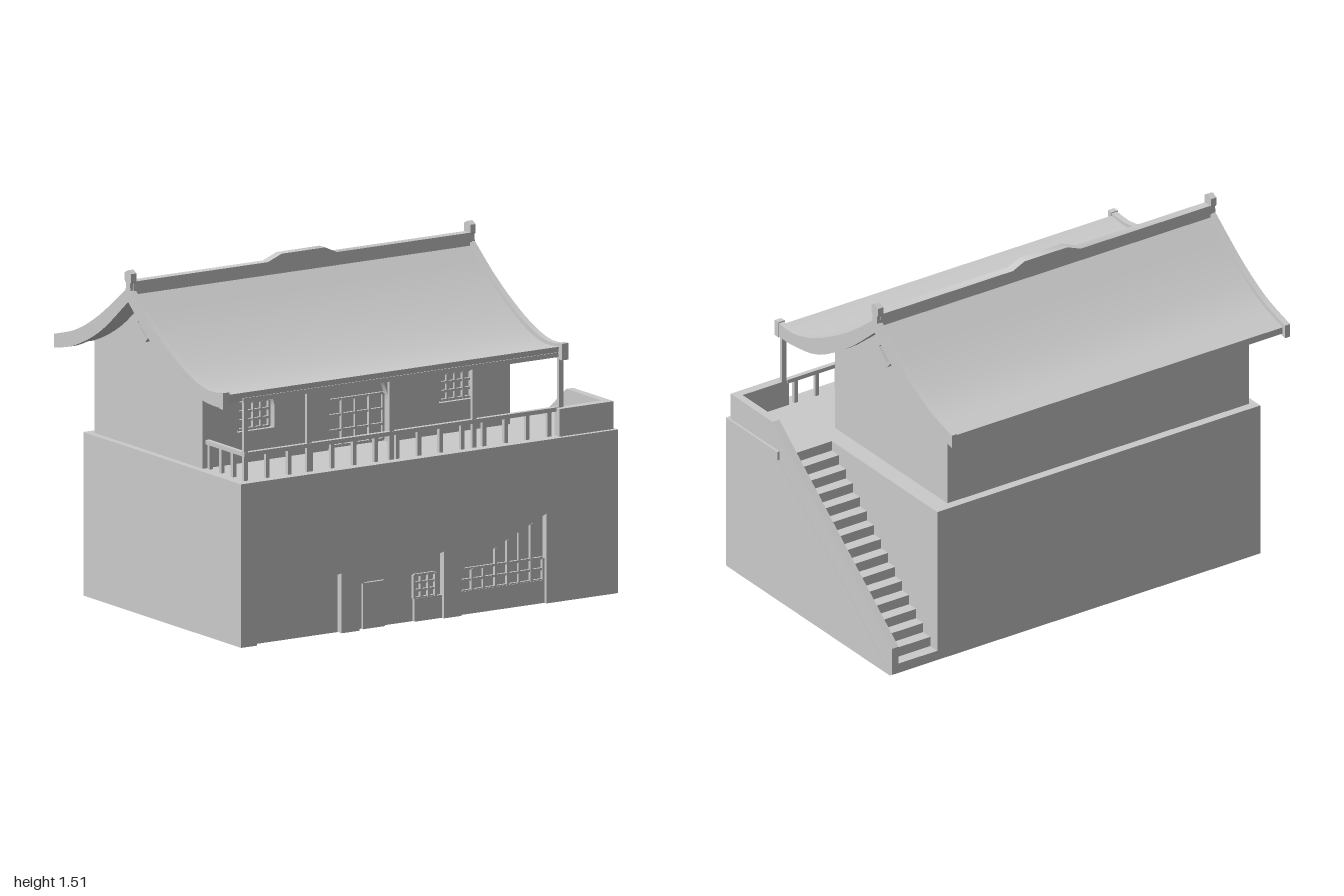
import * as THREE from 'three';
import { toCreasedNormals } from 'three/addons/utils/BufferGeometryUtils.js';

const material = new THREE.MeshStandardMaterial({ color: 0xcccccc });
const toShape = (pts) => new THREE.Shape(pts.map(([a, b]) => new THREE.Vector2(a, b)));

export function createModel() {
  const model = new THREE.Group();

  const add = (name, geometry, parent = model) => {
    const mesh = new THREE.Mesh(geometry, material);
    mesh.name = name;
    parent.add(mesh);
    return mesh;
  };
  const group = (name) => {
    const g = new THREE.Group();
    g.name = name;
    model.add(g);
    return g;
  };
  // Box given by its limits on each axis
  const box = (name, x0, x1, y0, y1, z0, z1, parent) => {
    const g = new THREE.BoxGeometry(x1 - x0, y1 - y0, z1 - z0);
    g.translate((x0 + x1) / 2, (y0 + y1) / 2, (z0 + z1) / 2);
    return add(name, g, parent);
  };
  // Front-facing outline (x, y) extruded from z0 to z1
  const slabZ = (name, shape, z0, z1, parent) => {
    const g = new THREE.ExtrudeGeometry(shape, { depth: z1 - z0, bevelEnabled: false, curveSegments: 12 });
    g.translate(0, 0, z0);
    return add(name, toCreasedNormals(g, 0.5), parent);
  };
  // Side outline (z, y) extruded from x0 to x1
  const slabX = (name, shape, x0, x1, parent) => {
    const g = new THREE.ExtrudeGeometry(shape, { depth: x1 - x0, bevelEnabled: false });
    g.rotateY(-Math.PI / 2);
    g.translate(x1, 0, 0);
    return add(name, toCreasedNormals(g, 0.5), parent);
  };
  // Grid of thin bars filling a rectangle
  const lattice = (name, x0, x1, y0, y1, z, cols, rows) => {
    const g = group(name);
    const t = 0.005;
    for (let i = 0; i <= cols; i++) {
      const x = x0 + ((x1 - x0) * i) / cols;
      box('verticalBar', x - t, x + t, y0, y1, z, z + 0.014, g);
    }
    for (let j = 0; j <= rows; j++) {
      const y = y0 + ((y1 - y0) * j) / rows;
      box('crossBar', x0, x1, y - t, y + t, z, z + 0.012, g);
    }
  };

  // Stone base: core, and a front wall with three slanted recesses
  box('baseCore', -0.92, 0.75, 0, 0.71, -0.55, 0.63);
  box('landing', 0.75, 0.995, 0, 0.71, 0.28, 0.63);
  const frontOutline = [[-0.92, 0.71], [-0.92, 0]];
  const recesses = [[-0.84, -0.41, 0.2, 0.26], [-0.32, 0.11, 0.2, 0.29], [0.2, 0.63, 0.2, 0.39]];
  for (const [x0, x1, y0, y1] of recesses) frontOutline.push([x0, 0], [x0, y0], [x1, y1], [x1, 0]);
  frontOutline.push([0.995, 0], [0.995, 0.71]);
  slabZ('baseFrontWall', toShape(frontOutline), 0.63, 0.66);

  // Fittings inside the recesses
  box('shutterPanel', -0.29, -0.18, 0, 0.2, 0.63, 0.645);
  box('windowSill', -0.03, 0.11, 0, 0.1, 0.63, 0.645);
  lattice('lowerWindowLattice', -0.03, 0.08, 0.1, 0.2, 0.63, 3, 3);
  box('lowWall', 0.2, 0.63, 0, 0.1, 0.63, 0.645);
  lattice('shopLattice', 0.205, 0.625, 0.1, 0.195, 0.63, 7, 2);
  for (let i = 3; i < 7; i++) {
    const x = 0.205 + i * 0.06;
    box('shopUpperBar', x - 0.005, x + 0.005, 0.195, 0.19 + (x - 0.2) * 0.44, 0.63, 0.644);
  }

  // Staircase climbing from the back to the front landing
  const steps = 16;
  const stairOutline = [[0.28, 0], [-0.55, 0]];
  for (let i = 0; i < steps; i++) {
    const y = (0.71 * (i + 1)) / steps;
    stairOutline.push([-0.55 + (0.83 * i) / steps, y], [-0.55 + (0.83 * (i + 1)) / steps, y]);
  }
  slabX('stairs', toShape(stairOutline), 0.75, 0.95);
  slabX('stairSideWall', toShape([[-0.55, 0], [0.33, 0], [0.33, 0.71]]), 0.95, 0.995);
  slabX('stairParapet', toShape([
    [0.64, 0.7], [0.64, 0.83], [0.33, 0.83], [-0.55, 0.125], [-0.55, 0], [0.33, 0.7],
  ]), 0.95, 0.985);
  box('landingParapet', 0.71, 0.95, 0.71, 0.83, 0.6, 0.64);

  // House: gabled body with an arched front wall
  slabX('houseBody', toShape([
    [0.29, 0.71], [0.29, 1.12], [0.1, 1.245], [-0.09, 1.395], [-0.3, 1.23], [-0.51, 1.13], [-0.51, 0.71],
  ]), -0.89, 0.67);
  const wall = toShape([[-0.89, 0.71], [-0.25, 0.71], [-0.25, 0.89]]);
  wall.absarc(-0.1, 0.89, 0.15, Math.PI, 0, true);
  wall.lineTo(0.05, 0.71).lineTo(0.67, 0.71).lineTo(0.67, 1.11).lineTo(-0.89, 1.11);
  for (const x of [-0.62, 0.405]) {
    const hole = new THREE.Path();
    hole.moveTo(x - 0.095, 0.845).lineTo(x + 0.095, 0.845).lineTo(x + 0.095, 0.93);
    hole.absarc(x, 0.93, 0.095, 0, Math.PI, false);
    hole.closePath();
    wall.holes.push(hole);
    lattice('windowLattice', x - 0.08, x + 0.08, 0.85, 0.965, 0.29, 4, 3);
  }
  slabZ('houseFrontWall', wall, 0.29, 0.32);
  lattice('doorLattice', -0.24, 0.04, 0.72, 0.92, 0.29, 4, 3);

  // Roof profile, front eave to ridge to back eave
  const spline = (pts, n = 14) =>
    new THREE.SplineCurve(pts.map(([a, b]) => new THREE.Vector2(a, b))).getPoints(n);
  const roofShape = (inset, zScale) => {
    const top = [
      ...spline([[0.64, 1.11], [0.5, 1.105], [0.32, 1.165], [0.1, 1.29], [-0.09, 1.435]]),
      ...spline([[-0.09, 1.435], [-0.3, 1.28], [-0.48, 1.18], [-0.66, 1.125]]).slice(1),
    ];
    const bottom = [
      ...spline([[-0.66, 1.065], [-0.5, 1.105], [-0.3, 1.205], [-0.09, 1.37]]),
      ...spline([[-0.09, 1.37], [0.1, 1.215], [0.32, 1.085], [0.5, 1.047], [0.63, 1.042]]).slice(1),
    ];
    const move = (dy) => (p) => [-0.09 + (p.x + 0.09) * zScale, p.y + dy];
    return toShape([...top.map(move(-inset)), ...bottom.map(move(inset))]);
  };
  slabX('roof', roofShape(0.015, 0.97), -0.98, 0.735);

  // Bargeboards with ridge finials, and gable ornaments
  const diamond = (r) => [[-0.09, 1.26 - r], [-0.09 + r, 1.26], [-0.09, 1.26 + r], [-0.09 - r, 1.26]];
  for (const [x0, x1] of [[-0.997, -0.97], [0.725, 0.752]]) {
    slabX('bargeboard', roofShape(0, 1), x0, x1);
    slabX('ridgeFinial', toShape([
      [-0.07, 1.39], [-0.075, 1.45], [-0.066, 1.46], [-0.066, 1.495], [-0.09, 1.508],
      [-0.116, 1.495], [-0.116, 1.46], [-0.107, 1.45], [-0.11, 1.39],
    ]), x0, x1);
    box('eaveCap', x0 - 0.003, x1 + 0.003, 1.04, 1.112, 0.615, 0.642);
  }
  for (const [x, s] of [[0.67, 1], [-0.89, -1]]) {
    const ring = toShape(diamond(0.075));
    ring.holes.push(new THREE.Path(diamond(0.058).map(([a, b]) => new THREE.Vector2(a, b))));
    slabX('gableFrame', ring, Math.min(x, x + s * 0.02), Math.max(x, x + s * 0.02));
    slabX('gableBoss', toShape(diamond(0.03)), Math.min(x, x + s * 0.012), Math.max(x, x + s * 0.012));
  }

  // Ridge beam with a raised, worn centre
  slabZ('ridgeBeam', toShape([
    [-0.98, 1.39], [0.735, 1.39], [0.735, 1.46], [0.05, 1.46], [-0.01, 1.488],
    [-0.23, 1.488], [-0.3, 1.46], [-0.98, 1.46],
  ]), -0.11, -0.07);

  // Veranda posts, beam and railing
  const veranda = group('veranda');
  for (const x of [-0.865, -0.545, -0.125, 0.295, 0.735]) {
    box('post', x - 0.011, x + 0.011, 0.71, 1.07, 0.6, 0.615, veranda);
  }
  box('eaveBeam', -0.88, 0.745, 1.05, 1.07, 0.598, 0.616, veranda);
  box('frontRail', -0.876, 0.72, 0.815, 0.833, 0.597, 0.618, veranda);
  box('sideRail', -0.876, -0.855, 0.815, 0.833, 0.32, 0.6, veranda);
  for (let i = 0; i < 15; i++) {
    const x = -0.865 + i * 0.11;
    box('baluster', x - 0.009, x + 0.009, 0.71, 0.82, 0.599, 0.616, veranda);
  }
  for (const z of [0.34, 0.43, 0.52]) {
    box('sideBaluster', -0.874, -0.857, 0.71, 0.82, z - 0.009, z + 0.009, veranda);
  }

  return model;
}
